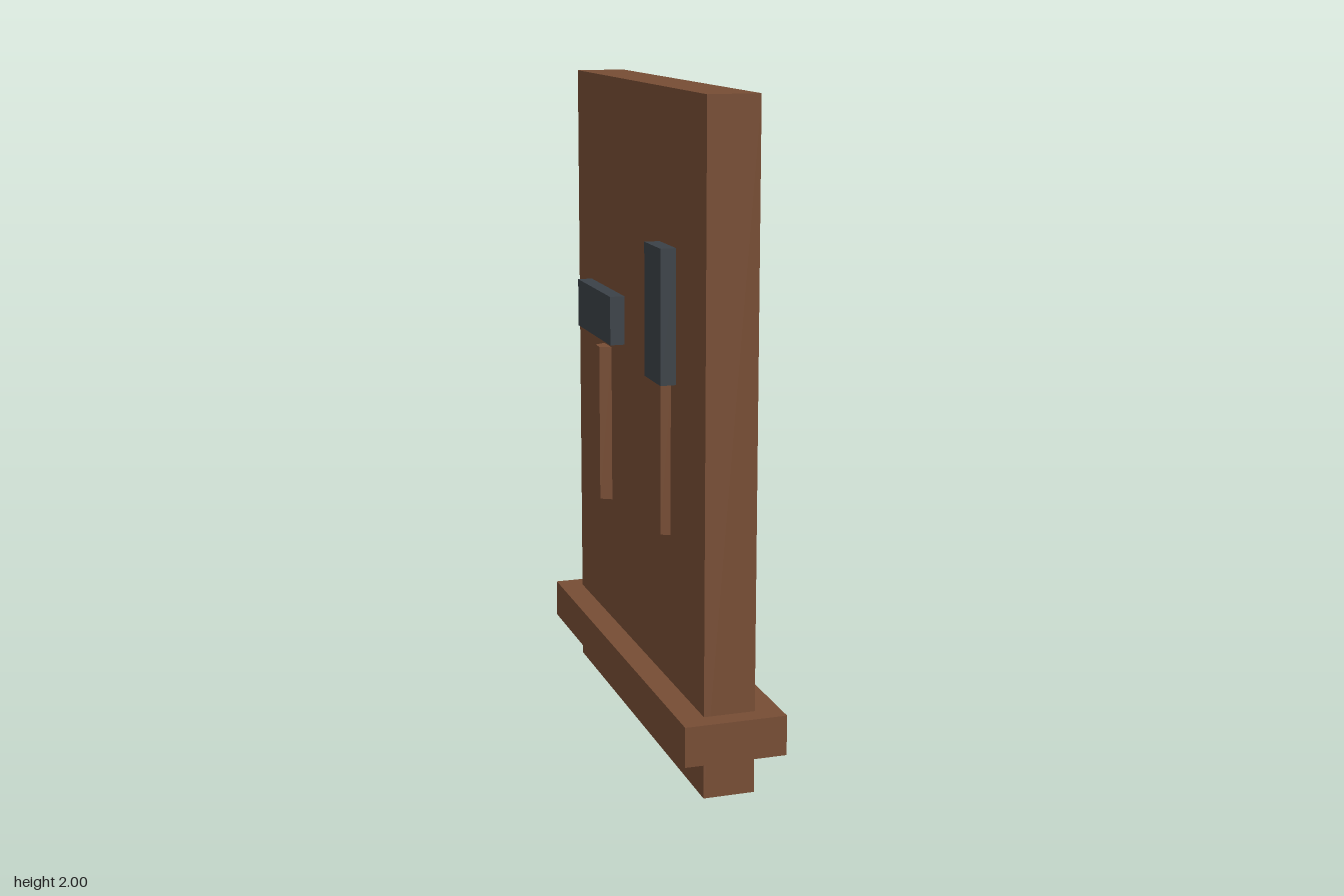
import * as THREE from 'three';

export function createModel() {
  const wood = new THREE.MeshStandardMaterial({ color: 0x784e35, flatShading: true });
  wood.name = 'brown wood';
  const metal = new THREE.MeshStandardMaterial({ color: 0x3c4248, flatShading: true });
  metal.name = 'dark metal';

  const model = new THREE.Group();
  model.name = 'toolBoard';
  const FACE = -0.077; // board face that carries the tools

  const add = (parent, name, geometry, material, x, y, z) => {
    const mesh = new THREE.Mesh(geometry, material);
    mesh.name = name;
    mesh.position.set(x, y, z);
    parent.add(mesh);
  };

  // Upright board and the ledge around its foot
  add(model, 'board', new THREE.BoxGeometry(0.154, 2, 1.29), wood, 0, 1, 0);
  add(model, 'ledge', new THREE.BoxGeometry(0.306, 0.12, 1.41), wood, 0, 0.188, 0);

  // A hung tool: metal block above a six-sided handle half sunk in the board
  const addTool = (name, z, width, headY, radius, handleY) => {
    const tool = new THREE.Group();
    tool.name = name;
    const depth = 0.046;
    add(tool, name + 'Head', new THREE.BoxGeometry(depth, headY[1] - headY[0], width), metal,
      FACE - depth / 2, (headY[0] + headY[1]) / 2, z);
    add(tool, name + 'Handle', new THREE.CylinderGeometry(radius, radius, handleY[1] - handleY[0], 6), wood,
      FACE, (handleY[0] + handleY[1]) / 2, z);
    model.add(tool);
  };
  addTool('hammer', -0.312, 0.37, [1.185, 1.337], 0.04, [0.65, 1.15]);
  addTool('chisel', 0.306, 0.154, [1.16, 1.555], 0.031, [0.7, 1.16]);

  return model;
}
